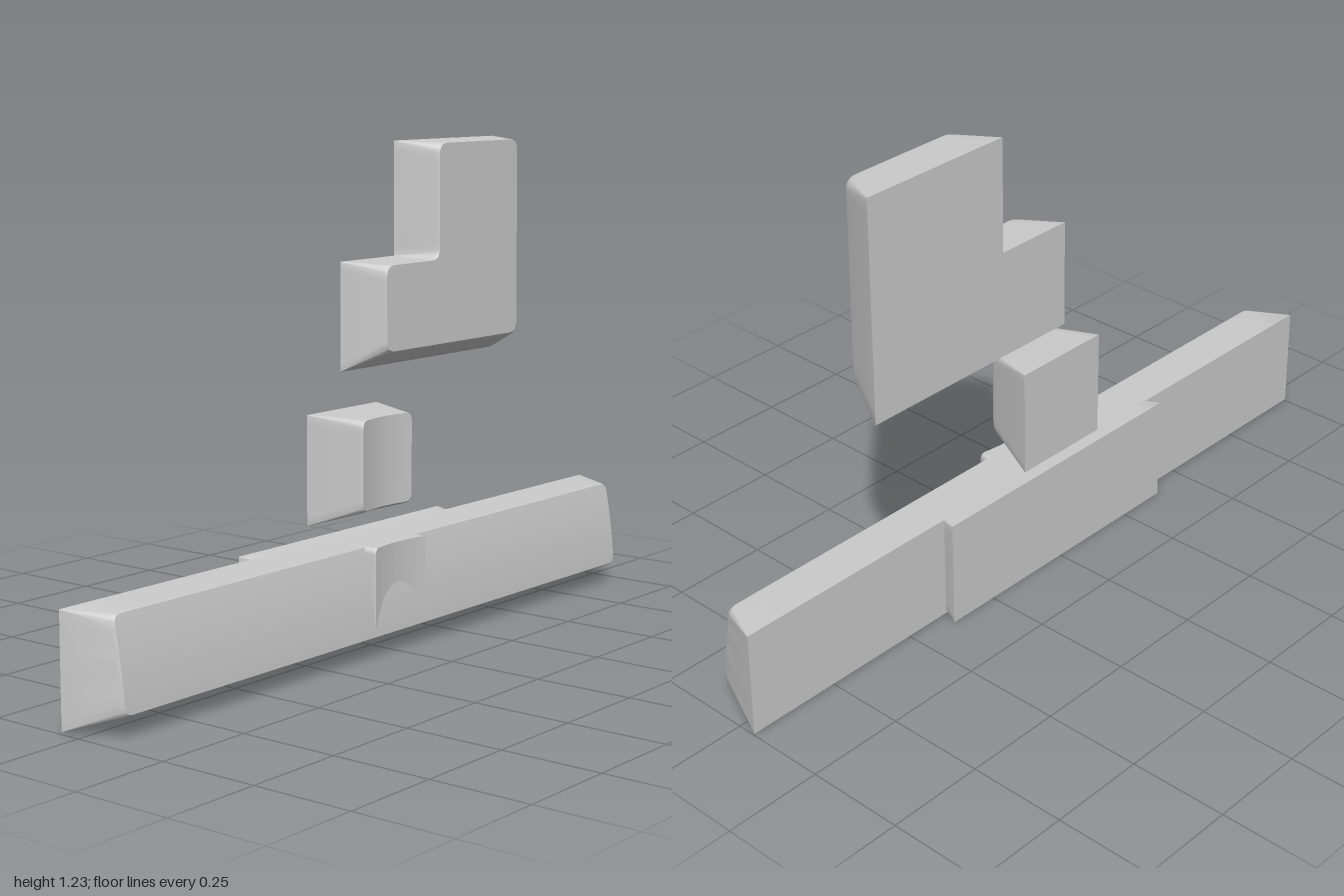
import * as THREE from 'three';
import { toCreasedNormals } from 'three/addons/utils/BufferGeometryUtils.js';

const material = new THREE.MeshStandardMaterial({ color: 0xcccccc, side: THREE.DoubleSide });

// Counter-clockwise corners of a rectangle
const rect = (x0, x1, y0, y1) => [[x0, y0], [x1, y0], [x1, y1], [x0, y1]];

const mix = (a, b, t) => a.map((p, i) => [0, 1].map(k => p[k] + (b[i][k] - p[k]) * t));

// Closed outline with rounded corners and subdivided straight edges
function outline(corners, radius) {
  const pts = [], n = corners.length, arc = 6, edge = 16;
  const v = corners.map(c => new THREE.Vector2(...c));
  const toward = (a, b) => a.clone().add(b.clone().sub(a).setLength(radius));
  for (let i = 0; i < n; i++) {
    const c = v[i], prev = v[(i + n - 1) % n], next = v[(i + 1) % n];
    const curve = new THREE.QuadraticBezierCurve(toward(c, prev), c, toward(c, next));
    pts.push(...curve.getPoints(arc));
    const end = toward(next, c), start = toward(c, next);
    for (let j = 1; j < edge; j++) pts.push(start.clone().lerp(end, j / edge));
  }
  return pts;
}

// Tapered key: sharp base outline lofted to a rounded face whose depth is faceZ(x, y)
function key(name, base, face, baseZ, faceZ, center, radius = 0.022) {
  const rings = [];
  const addRing = (xy, zt) => {
    const pts = outline(mix(base, face, xy), 0.001 + (radius - 0.001) * xy);
    rings.push(pts.map(p => [p.x, p.y, baseZ + (faceZ(p.x, p.y) - baseZ) * zt]));
  };
  addRing(0, 0);
  rings.unshift(rings[0].map(() => [center[0], center[1], baseZ])); // closes the back
  addRing(0.88, 0.93);
  addRing(0.95, 0.98);
  addRing(1, 1);
  // Face rings shrink to the centre and follow the dish or crown
  const rim = rings[rings.length - 1], steps = 10;
  for (let k = 1; k <= steps; k++) {
    const s = 1 - k / steps;
    rings.push(rim.map(([px, py]) => {
      const x = center[0] + (px - center[0]) * s, y = center[1] + (py - center[1]) * s;
      return [x, y, faceZ(x, y)];
    }));
  }
  const n = rim.length, index = [];
  for (let r = 0; r < rings.length - 1; r++) {
    for (let i = 0; i < n; i++) {
      const j = (i + 1) % n, a = r * n, b = a + n;
      if (r < rings.length - 2) index.push(a + i, b + j, b + i);
      if (r > 0) index.push(a + i, a + j, b + j);
    }
  }
  const geometry = new THREE.BufferGeometry();
  geometry.setAttribute('position', new THREE.Float32BufferAttribute(rings.flat(2), 3));
  geometry.setIndex(index);
  const mesh = new THREE.Mesh(toCreasedNormals(geometry, 0.5), material);
  mesh.name = name;
  return mesh;
}

// Face hollowed across its width
const dish = (z, depth, cx, half) => x => z - depth * Math.max(0, 1 - ((x - cx) / half) ** 2);

export function createModel() {
  const group = new THREE.Group();
  group.name = 'keycaps';

  // Long bar with a face that curves back toward the top
  const crown = (x, y) => {
    const t = (y - 0.055) / 0.217;
    return 0.096 - 0.012 * t - 0.019 * t * t;
  };
  group.add(key('spaceBar', rect(-1, 1, 0.005, 0.276), rect(-0.953, 0.953, 0.055, 0.272),
    -0.05, crown, [0, 0.16]));

  // Wide key showing behind the bar
  group.add(key('wideKey', rect(-0.387, 0.387, 0, 0.278), rect(-0.345, 0.345, 0.055, 0.27),
    -0.087, dish(0.06, 0.012, 0, 0.345), [0, 0.16]));

  // Single key breaking through the front of the bar
  group.add(key('innerKey', rect(-0.135, 0.135, 0.01, 0.275), rect(-0.099, 0.097, 0.055, 0.272),
    -0.045, dish(0.095, 0.011, 0, 0.097), [0, 0.16], 0.015));

  // Single key above the bar
  group.add(key('singleKey', rect(-0.138, 0.132, 0.31, 0.583), rect(-0.097, 0.092, 0.355, 0.576),
    -0.087, dish(0.055, 0.013, -0.003, 0.094), [-0.003, 0.465]));

  // L-shaped key
  const ell = (x0, x1, x2, y0, y1, y2) =>
    [[x0, y0], [x2, y0], [x2, y2], [x1, y2], [x1, y1], [x0, y1]];
  group.add(key('cornerKey', ell(0, 0.212, 0.63, 0.672, 0.943, 1.23),
    ell(0.042, 0.255, 0.587, 0.725, 0.936, 1.225),
    -0.095, (x, y) => 0.018 - 0.006 * (y - 0.725), [0.42, 0.83], 0.03));

  return group;
}
